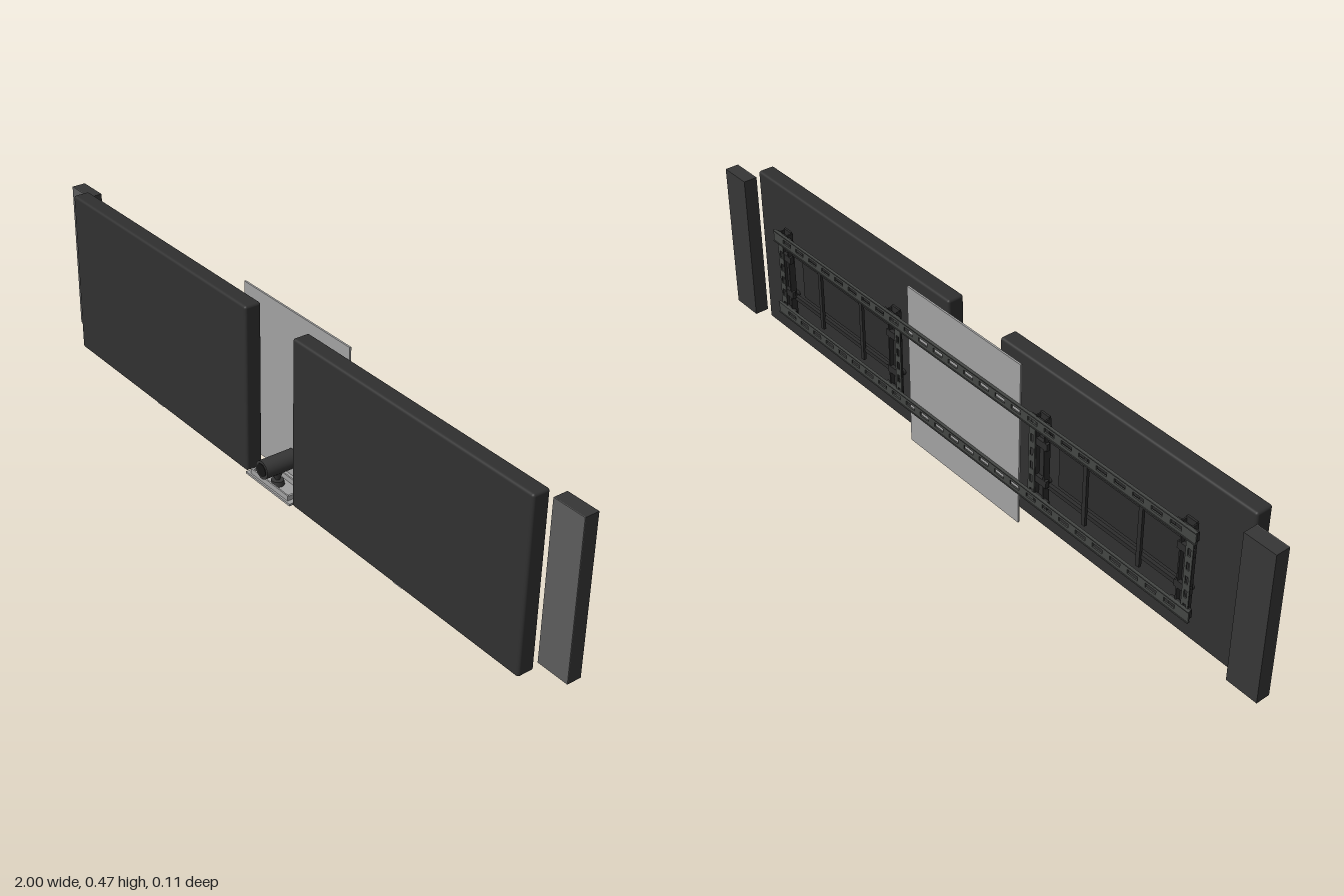
import * as THREE from 'three';
import { RoundedBoxGeometry } from 'three/addons/geometries/RoundedBoxGeometry.js';

const mat = (name, color) => Object.assign(new THREE.MeshStandardMaterial({ color }), { name });

export function createModel() {
  const black = mat('screen black', 0x303030);
  const body = mat('speaker charcoal', 0x363636);
  const grille = mat('grille grey', 0x5c5c5c);
  const panelGrey = mat('panel grey', 0xa2a2a2);
  const steel = mat('rail steel', 0x444644);
  const dark = mat('bracket dark', 0x2c2c2c);
  const lensBlack = mat('lens black', 0x161616);
  const light = mat('indicator light', 0xd0d0d0);

  const model = new THREE.Group();
  model.name = 'twinDisplay';
  const add = (parent, name, geometry, material, x = 0, y = 0, z = 0) => {
    const m = new THREE.Mesh(geometry, material);
    m.name = name;
    m.position.set(x, y, z);
    parent.add(m);
    return m;
  };
  // Box given by its limits on each axis
  const box = (parent, name, material, x0, x1, y0, y1, z0, z1) =>
    add(parent, name, new THREE.BoxGeometry(x1 - x0, y1 - y0, z1 - z0), material,
      (x0 + x1) / 2, (y0 + y1) / 2, (z0 + z1) / 2);

  // Slotted plate lying in the xy plane, centred on the origin
  const slotted = (w, h, depth, pitch, slotW, slotH) => {
    const rect = (P, cx, rw, rh) => new P([
      [-1, -1], [1, -1], [1, 1], [-1, 1],
    ].map(([a, b]) => new THREE.Vector2(cx + a * rw / 2, b * rh / 2)));
    const shape = rect(THREE.Shape, 0, w, h);
    const n = Math.floor((w - 0.02) / pitch);
    for (let i = 0; i < n; i++) {
      shape.holes.push(rect(THREE.Path, (i - (n - 1) / 2) * pitch, slotW, slotH));
    }
    return new THREE.ExtrudeGeometry(shape, { depth, bevelEnabled: false });
  };

  for (const s of [-1, 1]) {
    const side = new THREE.Group();
    side.name = s > 0 ? 'leftSide' : 'rightSide';
    model.add(side);

    // Display with softened edges and a small indicator
    add(side, 'display', new RoundedBoxGeometry(0.81, 0.466, 0.047, 3, 0.007), black, s * 0.5, 0.236, 0.0115);
    add(side, 'indicator', new THREE.BoxGeometry(0.03, 0.006, 0.004), light, s * 0.5, 0.006, 0.031);

    // Speaker with a grille on its front
    add(side, 'speaker', new THREE.BoxGeometry(0.09, 0.423, 0.037), body, s * 0.955, 0.2365, -0.0365);
    add(side, 'speakerGrille', new THREE.BoxGeometry(0.09, 0.423, 0.002), grille, s * 0.955, 0.2365, -0.017);

    // Wall bracket frame
    const bracket = new THREE.Group();
    bracket.name = 'bracket';
    bracket.position.set(s * 0.515, 0.23, 0);
    side.add(bracket);
    for (const e of [-1, 1]) {
      const x = e * 0.235;
      box(bracket, 'bracketArm', dark, x - 0.015, x + 0.015, -0.135, 0.135, -0.034, -0.028);
      for (const f of [-1, 1]) {
        box(bracket, 'bracketArmFlange', dark, x + f * 0.015 - 0.002, x + f * 0.015 + 0.002, -0.13, 0.13, -0.046, -0.028);
        // Standoffs to the display and hooks over the rails
        add(bracket, 'standoff', new THREE.CylinderGeometry(0.008, 0.008, 0.02, 12), dark, x, f * 0.07, -0.02)
          .rotation.x = Math.PI / 2;
        box(bracket, 'railHook', dark, x - 0.032, x + 0.032, f * 0.112 - 0.012, f * 0.112 + 0.012, -0.048, -0.04);
        box(bracket, 'clampBlock', dark, x - 0.024, x + 0.024, f * 0.055 - 0.01, f * 0.055 + 0.01, -0.046, -0.036);
      }
    }
    // Crossbars and thin uprights between the arms
    for (const y of [-0.07, 0.07]) {
      box(bracket, 'crossbar', dark, -0.225, 0.225, y - 0.006, y + 0.006, -0.033, -0.023);
    }
    for (const x of [-0.09, 0.09]) {
      box(bracket, 'upright', dark, x - 0.006, x + 0.006, -0.1, 0.1, -0.038, -0.03);
    }
    box(bracket, 'mountPlate', dark, -0.2, 0.2, -0.065, 0.075, -0.016, -0.011);
  }

  // Two slotted rails run the whole width behind the panel
  const railGeometry = slotted(1.57, 0.034, 0.004, 0.058, 0.034, 0.012);
  for (const y of [0.115, 0.342]) {
    add(model, 'rail', railGeometry, steel, 0, y, -0.054);
    for (const f of [-1, 1]) {
      box(model, 'railFlange', steel, -0.785, 0.785, y + f * 0.0155 - 0.0015, y + f * 0.0155 + 0.0015, -0.056, -0.048);
    }
  }
  // Short slotted ties at the rail ends
  const tieGeometry = slotted(0.26, 0.022, 0.003, 0.04, 0.022, 0.009);
  for (const x of [-0.765, -0.255, 0.255, 0.765]) {
    add(model, 'railTie', tieGeometry, steel, x, 0.2285, -0.049).rotation.z = Math.PI / 2;
  }

  // Centre panel and camera shelf
  box(model, 'centrePanel', panelGrey, -0.21, 0.21, 0, 0.47, -0.048, -0.043);
  box(model, 'shelf', panelGrey, -0.092, 0.092, 0.001, 0.007, -0.045, 0.04);
  for (const s of [-1, 1]) {
    box(model, 'trayEnd', panelGrey, s * 0.075 - 0.003, s * 0.075 + 0.003, 0.007, 0.02, -0.02, 0.034);
  }
  box(model, 'trayFront', panelGrey, -0.078, 0.078, 0.007, 0.022, 0.031, 0.035);
  box(model, 'trayBack', panelGrey, -0.078, 0.078, 0.007, 0.022, -0.022, -0.018);

  // Camera
  const camera = new THREE.Group();
  camera.name = 'camera';
  camera.position.set(0, 0.065, 0.0085);
  model.add(camera);
  add(camera, 'cameraBody', new THREE.CylinderGeometry(0.025, 0.025, 0.097, 32), body).rotation.x = Math.PI / 2;
  add(camera, 'lens', new THREE.CylinderGeometry(0.018, 0.018, 0.002, 32), lensBlack, 0, 0, 0.049).rotation.x = Math.PI / 2;
  add(camera, 'neck', new THREE.CylinderGeometry(0.016, 0.006, 0.028, 20), body, 0, -0.03, 0);
  add(camera, 'foot', new THREE.CylinderGeometry(0.016, 0.018, 0.013, 24), body, 0, -0.0515, 0);

  return model;
}
